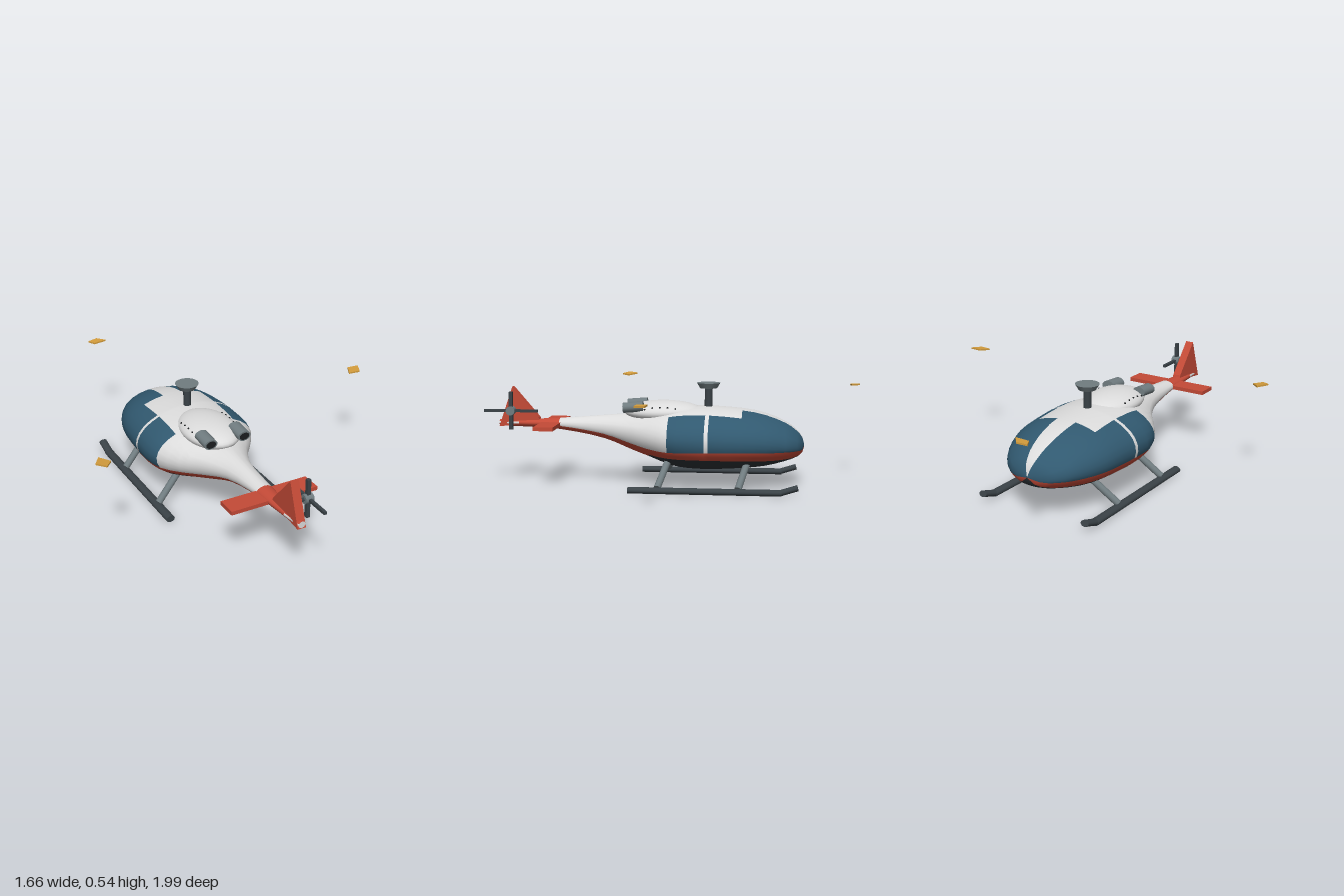
import * as THREE from 'three';

const mat = (name, color, side = THREE.FrontSide) => {
  const m = new THREE.MeshStandardMaterial({ color, side });
  m.name = name;
  return m;
};
const CX = -0.097; // the fuselage centre line

// Fuselage stations: z, half width, top, bottom, widest height, red band top, red band bottom
const STATIONS = [
  [-0.7, 0.002, 0.218, 0.212, 0.215, 0.214, 0.213],
  [-0.69, 0.07, 0.258, 0.18, 0.217, 0.203, 0.185],
  [-0.66, 0.135, 0.297, 0.157, 0.222, 0.203, 0.168],
  [-0.6, 0.195, 0.34, 0.135, 0.232, 0.205, 0.16],
  [-0.5, 0.25, 0.38, 0.11, 0.241, 0.208, 0.16],
  [-0.4, 0.28, 0.402, 0.098, 0.246, 0.211, 0.163],
  [-0.2, 0.297, 0.417, 0.086, 0.25, 0.212, 0.167],
  [-0.1, 0.297, 0.415, 0.09, 0.252, 0.21, 0.168],
  [0, 0.278, 0.406, 0.107, 0.258, 0.205, 0.169],
  [0.1, 0.215, 0.391, 0.143, 0.268, 0.21, 0.172],
  [0.2, 0.142, 0.377, 0.177, 0.28, 0.228, 0.19],
  [0.36, 0.072, 0.362, 0.238, 0.297, 0.27, 0.25],
  [0.6, 0.045, 0.343, 0.283, 0.314, 0.305, 0.293],
  [0.75, 0.035, 0.336, 0.292, 0.315, 0.31, 0.3],
  [0.93, 0.018, 0.332, 0.298, 0.315, 0.312, 0.304],
];

// Smooth interpolation between the stations
function section(z) {
  let i = 0;
  while (i < STATIONS.length - 2 && z > STATIONS[i + 1][0]) i++;
  const S = (k) => STATIONS[Math.max(0, Math.min(STATIONS.length - 1, k))];
  const [a, b, c, d] = [S(i - 1), S(i), S(i + 1), S(i + 2)];
  const h = c[0] - b[0], t = (z - b[0]) / h;
  return b.map((v, k) => {
    const m0 = (c[k] - a[k]) / (c[0] - a[0]) * h, m1 = (d[k] - b[k]) / (d[0] - b[0]) * h;
    return (2 * t ** 3 - 3 * t ** 2 + 1) * v + (t ** 3 - 2 * t ** 2 + t) * m0
      + (3 * t ** 2 - 2 * t ** 3) * c[k] + (t ** 3 - t ** 2) * m1;
  });
}

// Lofted fuselage whose rings follow the paint edges
function fuselage(mats) {
  const zs = [-0.7, -0.698, -0.69, -0.675, -0.66, -0.63, -0.6, -0.55, -0.5, -0.44, -0.376, -0.3, -0.21, -0.19,
    -0.1, -0.05, 0, 0.055, 0.11, 0.15, 0.2, 0.25, 0.3, 0.36, 0.44, 0.52, 0.6, 0.7, 0.82, 0.93];
  const counts = [2, 3, 6, 2, 5], zones = counts.flatMap((n, k) => Array(n).fill(k));
  const half = zones.length, N = half * 2, pos = [], faces = [[], [], [], []];
  for (const z of zs) {
    const [, W, top, bot, yc, rt, rb] = section(z);
    const angle = (y) => Math.acos(Math.max(-0.97, Math.min(0.3, y > yc ? (y - yc) / (top - yc) : (y - yc) / (yc - bot))));
    const edges = [0, Math.asin(0.19), Math.asin(Math.min(0.9, 0.167 / W)), angle(rt), Math.max(angle(rb), angle(rt) + 0.05), Math.PI];
    const angles = counts.flatMap((n, k) => Array.from({ length: n }, (_, j) => edges[k] + (edges[k + 1] - edges[k]) * j / n));
    angles.push(Math.PI);
    for (let i = 0; i < N; i++) {
      const a = i <= half ? angles[i] : 2 * Math.PI - angles[N - i], c = Math.cos(a);
      pos.push(CX + W * Math.sin(a), yc + c * (c > 0 ? top - yc : yc - bot), z);
    }
  }
  // 0 white, 1 blue, 2 red, 3 dark
  const paint = (zone, z) => {
    if (zone === 4) return z < 0.11 ? 3 : 2;
    if (zone === 3) return 2;
    if (z > 0.6) return zone === 2 && z > 0.82 ? 0 : 2;
    if (z > 0 || zone === 0 || (z > -0.21 && z < -0.19)) return 0;
    return zone === 1 && z > -0.376 ? 0 : 1;
  };
  for (let r = 0; r < zs.length - 1; r++) {
    for (let i = 0; i < N; i++) {
      const zone = zones[i < half ? i : N - 1 - i], k = (i + 1) % N;
      const a = r * N + i, b = r * N + k;
      faces[paint(zone, (zs[r] + zs[r + 1]) / 2)].push(a, a + N, b, b, a + N, b + N);
    }
  }
  const geo = new THREE.BufferGeometry();
  geo.setAttribute('position', new THREE.Float32BufferAttribute(pos, 3));
  geo.setIndex(faces.flat());
  let start = 0;
  faces.forEach((f, k) => { geo.addGroup(start, f.length, k); start += f.length; });
  geo.computeVertexNormals();
  return new THREE.Mesh(geo, mats);
}

export function createModel() {
  const model = new THREE.Group();
  const white = mat('white paint', 0xdcdcdc), blue = mat('blue glass', 0x315970);
  const red = mat('red paint', 0xc44a37), belly = mat('dark belly', 0x2c3236);
  const dark = mat('dark metal', 0x3a4247), grey = mat('grey metal', 0x707c80);
  const gold = mat('gold tip', 0xd39c3c), black = mat('black', 0x1c1f21);

  const add = (name, geo, material, x = 0, y = 0, z = 0, parent = model) => {
    const m = new THREE.Mesh(geo, material);
    m.name = name;
    m.position.set(x, y, z);
    parent.add(m);
    return m;
  };
  // Capped cylinder between two points
  const rod = (name, a, b, r, material, parent = model, sides = 12) => {
    const p = new THREE.Vector3(...a), q = new THREE.Vector3(...b), d = q.clone().sub(p);
    const m = add(name, new THREE.CylinderGeometry(r, r, d.length(), sides), material, 0, 0, 0, parent);
    m.position.copy(p).add(q).multiplyScalar(0.5);
    m.quaternion.setFromUnitVectors(new THREE.Vector3(0, 1, 0), d.normalize());
    return m;
  };

  const body = fuselage([white, blue, red, belly]);
  body.name = 'fuselage';
  model.add(body);
  const tailCap = add('tailCap', new THREE.CircleGeometry(1, 20), white, CX, 0.315, 0.93);
  tailCap.scale.set(0.018, 0.017, 1);

  // Engine cover with vents and exhausts
  const cover = add('engineCover', new THREE.SphereGeometry(1, 32, 20), white, CX, 0.385, 0.04);
  cover.scale.set(0.143, 0.06, 0.21);
  for (const s of [-1, 1]) {
    for (let i = 0; i < 5; i++) {
      const z = -0.03 + i * 0.04, u = 0.118 / 0.143, v = (z - 0.04) / 0.21;
      add('vent', new THREE.SphereGeometry(0.005, 8, 6), black,
        CX + s * 0.118, 0.385 + 0.06 * Math.sqrt(Math.max(0, 1 - u * u - v * v)), z);
    }
    const x = CX + s * 0.094;
    rod('exhaust', [x, 0.421, 0.14], [x, 0.413, 0.245], 0.036, grey, model, 16).scale.z = 0.75;
    const mouth = add('exhaustMouth', new THREE.CircleGeometry(0.027, 16), black, x, 0.413, 0.2465);
    mouth.scale.y = 0.75;
    mouth.rotation.x = 0.076;
  }

  // Main rotor mast and hub
  rod('rotorMast', [CX, 0.39, -0.195], [CX, 0.52, -0.195], 0.02, dark);
  add('rotorHub', new THREE.CylinderGeometry(0.062, 0.045, 0.028, 20), grey, CX, 0.526, -0.195);

  // Rotor blade tips: four corners each, as x, y, z
  const tips = [
    [[-0.323, 0.518, -0.985], [-0.27, 0.522, -0.995], [-0.233, 0.522, -0.95], [-0.302, 0.518, -0.945]],
    [[0.767, 0.522, 0.021], [0.83, 0.522, 0.026], [0.804, 0.518, 0.08], [0.74, 0.518, 0.074]],
    [[-0.794, 0.523, 0.275], [-0.751, 0.516, 0.322], [-0.787, 0.519, 0.362], [-0.83, 0.526, 0.328]],
  ];
  for (const c of tips) {
    const geo = new THREE.BufferGeometry();
    const pts = [0.004, -0.004].flatMap((h) => c.map(([x, y, z]) => [x, y + h, z]));
    geo.setAttribute('position', new THREE.Float32BufferAttribute(pts.flat(), 3));
    const idx = [0, 2, 1, 0, 3, 2, 4, 5, 6, 4, 6, 7];
    for (let i = 0; i < 4; i++) {
      const k = (i + 1) % 4;
      idx.push(i, k, i + 4, k, k + 4, i + 4);
    }
    geo.setIndex(idx);
    const flat = geo.toNonIndexed();
    flat.computeVertexNormals();
    add('bladeTip', flat, gold);
  }

  // Tail fin and stabilizer
  const finShape = new THREE.Shape([[-0.705, 0.32], [-0.715, 0.347], [-0.855, 0.51], [-0.93, 0.295]]
    .reverse().map(([x, y]) => new THREE.Vector2(x, y)));
  const fin = add('tailFin', new THREE.ExtrudeGeometry(finShape, { depth: 0.044, bevelEnabled: false }), red, CX - 0.022);
  fin.rotation.y = Math.PI / 2;
  add('stabilizer', new THREE.BoxGeometry(0.466, 0.02, 0.105), red, CX + 0.002, 0.313, 0.645);

  // Tail rotor
  const tail = new THREE.Group();
  tail.name = 'tailRotor';
  tail.position.set(-0.018, 0.388, 0.85);
  model.add(tail);
  rod('tailRotorShaft', [-0.065, 0, 0], [0, 0, 0], 0.009, dark, tail);
  rod('tailRotorHub', [-0.022, 0, 0], [0.022, 0, 0], 0.024, grey, tail);
  add('tailBlade', new THREE.BoxGeometry(0.016, 0.014, 0.29), dark, 0, 0, 0, tail);
  add('tailBlade', new THREE.BoxGeometry(0.018, 0.2, 0.02), dark, 0, 0, 0, tail);

  // Landing skids and struts
  for (const s of [-1, 1]) {
    const skid = new THREE.Group();
    skid.name = 'skid';
    skid.position.x = CX + s * 0.301;
    skid.scale.x = 1.4;
    model.add(skid);
    rod('skidTube', [0, 0.017, 0.195], [0, 0.017, -0.585], 0.017, dark, skid);
    rod('skidToe', [0, 0.016, -0.572], [0, 0.045, -0.665], 0.016, dark, skid);
    for (const z of [0.045, -0.365]) {
      rod('strut', [CX + s * 0.295, 0.03, z], [CX + s * 0.155, 0.155, z - 0.045], 0.018, grey);
    }
  }
  return model;
}
